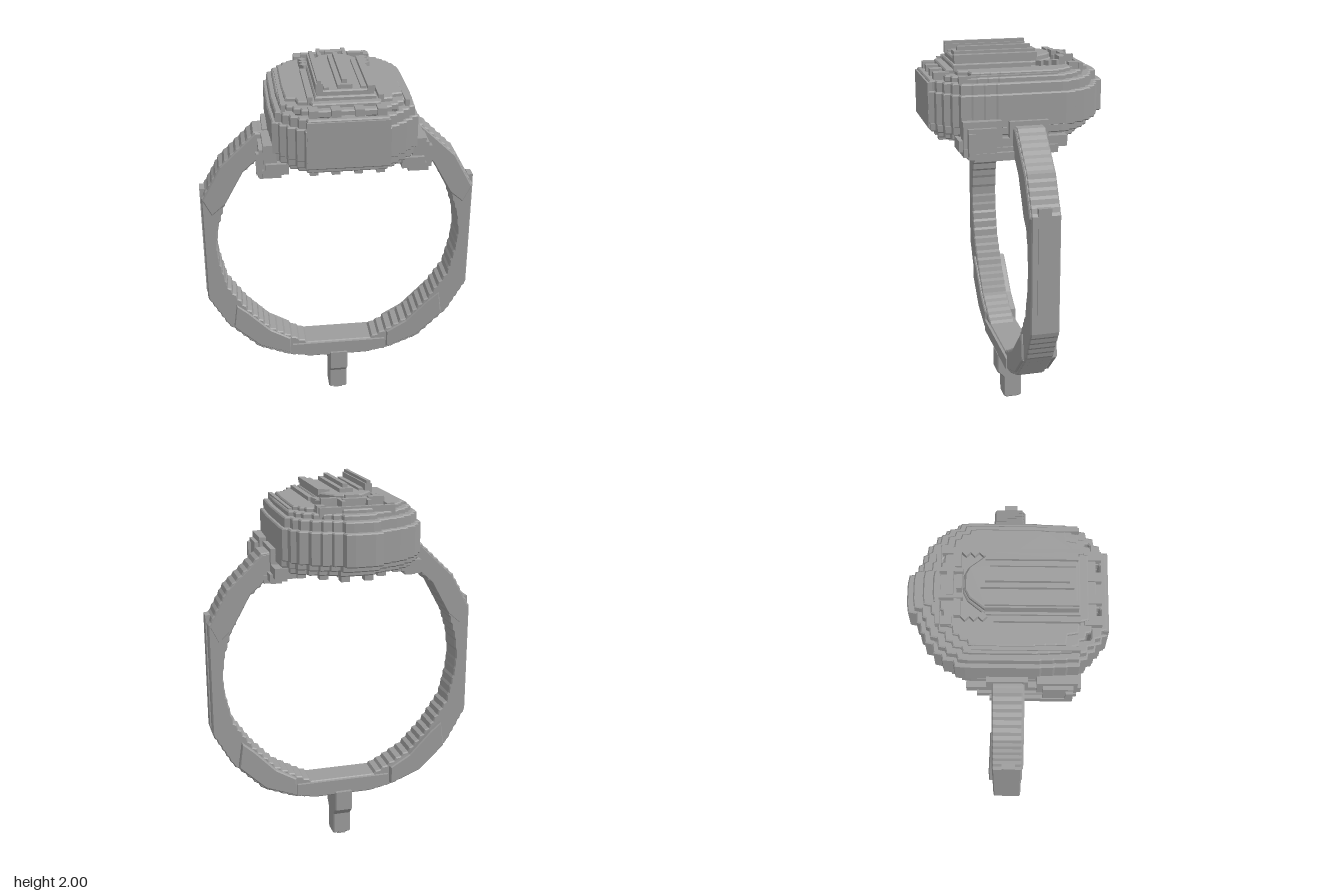
import * as THREE from 'three';

const metal = new THREE.MeshStandardMaterial({ color: 0x9c9c9c });
metal.name = 'grey metal';

export function createModel() {
  const ring = new THREE.Group();
  ring.name = 'signetRing';

  const add = (name, geo) => {
    const m = new THREE.Mesh(geo, metal);
    m.name = name;
    ring.add(m);
    return m;
  };
  const box = (name, x0, x1, y0, y1, z0, z1) =>
    add(name, new THREE.BoxGeometry(x1 - x0, y1 - y0, z1 - z0)
      .translate((x0 + x1) / 2, (y0 + y1) / 2, (z0 + z1) / 2));
  // the same box on both sides of the ring
  const pair = (name, x0, x1, ...r) => {
    box(name + 'Left', x0, x1, ...r);
    box(name + 'Right', -x1, -x0, ...r);
  };
  const toShape = pts => new THREE.Shape(pts.map(p => new THREE.Vector2(p[0], p[1])));
  const mirror = half => [...half, ...half.map(([x, y]) => [-x, y]).reverse()];
  const extrude = (shape, depth, b = 0.006) => new THREE.ExtrudeGeometry(shape, {
    depth: depth - 2 * b, bevelEnabled: true, bevelThickness: b, bevelSize: b,
    bevelOffset: -b, bevelSegments: 1, curveSegments: 1,
  }).translate(0, 0, b);
  // breaks a slanted line into small steps; k sets how deep they are
  const stair = (pts, size, k) => {
    const out = [];
    for (let i = 0; i < pts.length - 1; i++) {
      const [ax, ay] = pts[i], [bx, by] = pts[i + 1];
      const n = Math.max(1, Math.round(Math.hypot(bx - ax, by - ay) / size));
      const slanted = Math.abs(bx - ax) > 0.004 && Math.abs(by - ay) > 0.004;
      for (let j = 0; j < n; j++) {
        if (j > 0 && !slanted) continue;
        const x = ax + (bx - ax) * j / n, y = ay + (by - ay) * j / n;
        out.push([x, y]);
        if (slanted) out.push([x + (bx - ax) / n * (0.5 - k / 2), y + (by - ay) / n * (0.5 + k / 2)]);
      }
    }
    out.push(pts[pts.length - 1]);
    return out;
  };

  // Band: an open hoop with a stepped inside
  const outer = [[0.33, 1.62], [0.36, 1.66], [0.43, 1.655], [0.61, 1.48], [0.71, 1.3], [0.71, 0.7],
    [0.61, 0.52], [0.44, 0.35], [0.28, 0.285], [0.15, 0.26], [0.02, 0.26]];
  const inner = [[0.02, 0.36], [0.18, 0.36], [0.26, 0.4], [0.38, 0.47], [0.5, 0.6], [0.6, 0.75],
    [0.635, 0.9], [0.645, 1.0], [0.63, 1.12], [0.59, 1.25], [0.5, 1.42], [0.4, 1.51], [0.33, 1.55]];
  const outLine = stair(outer, 0.045, 0.3), inLine = stair(inner, 0.05, 0.5);
  const flip = pts => pts.map(([x, y]) => [-x, y]).reverse();
  const bandShape = toShape([...outLine, ...flip(outLine), ...flip(inLine), ...inLine]);
  add('band', extrude(bandShape, 0.145)).position.z = -0.068;

  // Raised lower shoulders of the band
  for (const s of [1, -1]) {
    const pts = [[0.27, 0.3], [0.44, 0.365], [0.58, 0.5], [0.56, 0.64], [0.5, 0.59], [0.38, 0.465], [0.27, 0.4]];
    add('lowerShoulder', extrude(toShape(pts.map(([x, y]) => [s * x, y])), 0.186)).position.z = -0.098;
    const top = [[0.34, 1.56], [0.4, 1.52], [0.49, 1.44], [0.59, 1.26], [0.66, 1.2], [0.705, 1.29], [0.605, 1.475], [0.42, 1.65], [0.34, 1.65]];
    add('upperShoulder', extrude(toShape(top.map(([x, y]) => [s * x, y])), 0.155)).position.z = -0.07;
  }
  pair('sidePanel', 0.69, 0.716, 0.72, 1.34, -0.02, 0.045);
  box('bottomPlate', -0.26, 0.26, 0.29, 0.355, -0.085, 0.09);

  // Post under the band, narrower towards its foot
  const post = [[0.088, 0.28], [0.088, 0.17], [0.05, 0.13], [0.05, 0.015], [0.035, 0.005]];
  add('post', extrude(toShape(mirror(post)), 0.1).rotateY(Math.PI / 2)).position.x = -0.05;
  box('postTip', -0.025, 0.025, 0, 0.02, -0.04, 0.04);

  // Head: stacked plates pierced by the same holes. Plans are given as [x, z].
  const plan = [[0, 0.46], [0.2, 0.46], [0.28, 0.4], [0.35, 0.33], [0.36, 0.15], [0.36, -0.19],
    [0.3, -0.3], [0.2, -0.38], [0.1, -0.42], [0.05, -0.465], [0, -0.465]];
  // holes: x, z, width, length, diamond?
  const holes = [[0, 0.42, 0.04, 0.05], [0, -0.4, 0.04, 0.05]];
  for (const s of [1, -1]) {
    holes.push([s * 0.11, 0.405, 0.05, 0.04], [s * 0.21, 0.358, 0.06, 0.045], [s * 0.23, 0.09, 0.085, 0.1],
      [s * 0.205, -0.15, 0.07, 0.18, 1], [s * 0.285, -0.22, 0.045, 0.045], [s * 0.21, -0.3, 0.075, 0.075, 1],
      [s * 0.1, -0.355, 0.06, 0.06, 1], [s * 0.115, -0.275, 0.075, 0.05]);
  }
  const corners = ([x, z, w, l, d]) => {
    const a = w / 2, b = l / 2, c = d ? a * 0.7 : a * 0.35, e = d ? b * 0.7 : b * 0.35;
    return [[a, -b + e], [a, b - e], [a - c, b], [-a + c, b], [-a, b - e], [-a, -b + e], [-a + c, -b], [a - c, -b]]
      .map(([u, v]) => [x + u, z + v]);
  };
  const inside = ([x, y], poly) => {
    let hit = false;
    poly.forEach(([ax, ay], i) => {
      const [bx, by] = poly[(i + 1) % poly.length];
      if ((ay > y) !== (by > y) && x < (bx - ax) * (y - ay) / (by - ay) + ax) hit = !hit;
    });
    return hit;
  };
  const plate = (name, half, y0, y1, pierced) => {
    const pts = mirror(half.filter(p => p[0] > 0.001));
    const shape = toShape(pts.map(([x, z]) => [x, -z]));
    if (pierced) for (const h of holes) {
      const grown = corners([h[0], h[1], h[2] + 0.03, h[3] + 0.03, h[4]]);
      if (!grown.every(p => inside(p, pts))) continue;
      shape.holes.push(new THREE.Path(corners(h).map(([x, z]) => new THREE.Vector2(x, -z))));
    }
    add(name, extrude(shape, y1 - y0).rotateX(-Math.PI / 2)).position.y = y0;
  };
  const layers = [
    ['headBase', 1.575, 1.62, 0.96, 0.9, 0.74],
    ['headLowerStep', 1.61, 1.655, 1, 0.99, 0.88],
    ['headWall', 1.645, 1.81, 1, 1, 1],
    ['headUpperStep', 1.80, 1.86, 0.95, 0.985, 0.93],
    ['headBevel', 1.85, 1.885, 0.88, 0.88, 0.83],
    ['headTop', 1.875, 1.905, 0.8, 0.8, 0.73],
  ];
  for (const [name, y0, y1, sx, zf, zb] of layers) {
    const half = plan.map(([x, z]) => [x * sx, z * (z > 0 ? zf : zb)]);
    plate(name, stair(half, 0.055, 0.7), y0, y1, true);
  }

  // Flat front panel and the prongs along its upper edge
  box('frontPanel', -0.195, 0.195, 1.625, 1.85, 0.44, 0.463);
  for (const x of [-0.16, -0.055, 0.055, 0.16]) {
    box('frontProng', x - 0.022, x + 0.022, 1.84, 1.895, 0.35, 0.43);
    box('lowerProng', x - 0.02, x + 0.02, 1.56, 1.61, 0.34, 0.41);
  }

  // Underside rails that step up towards the middle
  pair('railUpper', 0.275, 0.385, 1.545, 1.6, -0.19, 0.35);
  pair('railMiddle', 0.31, 0.4, 1.52, 1.56, -0.14, 0.33);
  pair('railLower', 0.33, 0.42, 1.5, 1.54, -0.08, 0.28);
  pair('neck', 0.33, 0.385, 1.5, 1.68, -0.095, 0.1);
  pair('bottomRib', 0.15, 0.185, 1.555, 1.6, -0.05, 0.36);

  // Stepped clasps low on the sides
  pair('clasp', 0.33, 0.415, 1.51, 1.66, 0.17, 0.31);
  pair('claspEdge', 0.33, 0.43, 1.53, 1.64, 0.275, 0.31);
  pair('claspStep', 0.33, 0.395, 1.53, 1.69, 0.14, 0.33);

  // Long strips down the sides of the top
  pair('sideStrip', 0.285, 0.305, 1.85, 1.893, -0.16, 0.33);
  pair('innerStrip', 0.155, 0.18, 1.88, 1.925, -0.06, 0.33);

  // Raised arched tablet with lengthwise ribs
  const arch = [[0.145, 0.33], [0.145, -0.1], [0.08, -0.18], [0.04, -0.2]];
  plate('tabletBase', arch, 1.89, 1.925);
  plate('tablet', arch.map(([x, z]) => [x * 0.93, z * 0.96]), 1.915, 1.95);
  pair('tabletRib', 0.075, 0.1, 1.94, 1.962, -0.08, 0.31);
  box('middleRib', -0.035, 0.035, 1.94, 1.97, -0.12, 0.3);
  box('middleRidge', -0.012, 0.012, 1.96, 1.99, -0.1, 0.28);
  box('edgeRibRight', -0.14, -0.105, 1.94, 1.985, -0.1, 0.32);
  box('edgeRidgeRight', -0.132, -0.113, 1.98, 2, -0.1, 0.32);
  box('edgeRibLeft', 0.105, 0.14, 1.94, 1.968, -0.1, 0.32);

  // Pierced ornament behind the tablet
  box('rearBar', -0.06, 0.06, 1.89, 1.945, -0.275, -0.245);
  box('rearCap', -0.035, 0.035, 1.89, 1.955, -0.23, -0.205);
  box('rearCrossbar', -0.19, 0.19, 1.87, 1.915, -0.325, -0.305);
  pair('rearPost', 0.055, 0.075, 1.88, 1.94, -0.31, -0.2);
  pair('rearLink', 0.08, 0.16, 1.89, 1.945, -0.24, -0.21);
  pair('rearScroll', 0.155, 0.195, 1.87, 1.92, -0.3, -0.25);
  for (const s of [1, -1]) for (const z of [-0.19, -0.15, -0.11]) {
    const stud = add('stud', new THREE.BoxGeometry(0.03, 0.05, 0.03).rotateY(Math.PI / 4));
    stud.position.set(s * 0.158, 1.905, z);
  }
  // Small lumps under the pierced rear
  for (const [x, z] of [[0.06, -0.3], [0.15, -0.23], [0.16, -0.12], [0.25, -0.17], [0.05, -0.2]])
    pair('underLump', x - 0.022, x + 0.022, 1.545, 1.59, z - 0.025, z + 0.025);

  return ring;
}
